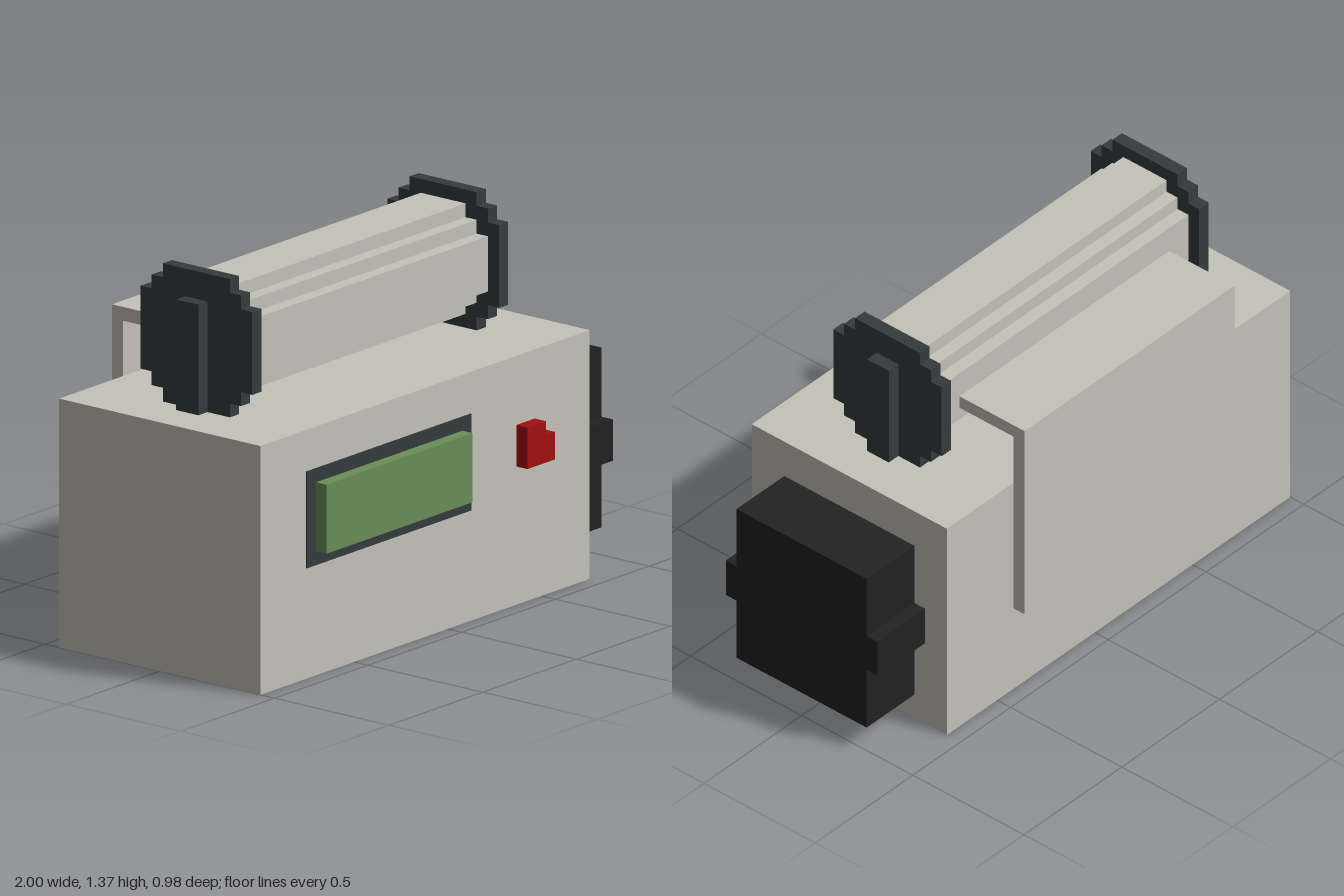
import * as THREE from 'three';

const U = 2 / 41; // one block of the modelling grid

const material = (name, color) => {
  const m = new THREE.MeshStandardMaterial({ color });
  m.name = name;
  return m;
};

export function createModel() {
  const model = new THREE.Group();
  model.name = 'paperRollPrinter';

  const casing = material('warmGrey', 0xc4c3ba);
  const slate = material('slate', 0x353c3d);
  const black = material('black', 0x222222);
  const green = material('screenGreen', 0x6a8f57);
  const red = material('buttonRed', 0xa30f0f);

  const add = (name, geometry, mat) => {
    const mesh = new THREE.Mesh(geometry, mat);
    mesh.name = name;
    model.add(mesh);
    return mesh;
  };

  // Box between two grid corners; x runs 0..41, z is centred
  const box = (name, mat, [x0, x1], [y0, y1], [z0, z1]) => {
    const g = new THREE.BoxGeometry((x1 - x0) * U, (y1 - y0) * U, (z1 - z0) * U);
    g.translate(((x0 + x1) / 2 - 20.5) * U, ((y0 + y1) / 2) * U, ((z0 + z1) / 2) * U);
    return add(name, g, mat);
  };

  // Extrude a closed outline (grid units) by a depth
  const extrude = (points, depth) => {
    const shape = new THREE.Shape(points.map(([x, y]) => new THREE.Vector2(x * U, y * U)));
    return new THREE.ExtrudeGeometry(shape, { depth: depth * U, bevelEnabled: false });
  };

  // Profile running along x; outline is given as (-z, y)
  const alongX = (name, mat, points, x0, x1) => {
    const g = extrude(points, x1 - x0).rotateY(Math.PI / 2);
    g.translate((x0 - 20.5) * U, 0, 0);
    return add(name, g, mat);
  };

  // Blocky circle of radius r with two-step corners, centred at height 23
  const steppedDisc = (r) => {
    const corner = [[r, r - 2], [r - 1, r - 2], [r - 1, r - 1], [r - 2, r - 1], [r - 2, r]];
    const mirrored = corner.map(([x, y]) => [-x, y]).reverse();
    const top = [...corner, ...mirrored];
    return [...top, ...top.map(([x, y]) => [-x, -y])].map(([x, y]) => [x, y + 23]);
  };

  // Main casing
  box('body', casing, [0, 36], [0, 18], [-9, 9]);

  // Display: flush surround and raised screen
  box('screenFrame', slate, [5, 23], [8, 15], [9, 9.08]);
  box('screen', green, [6, 22], [9, 14], [9, 10]);

  // Notched button
  const button = extrude([[28, 10], [31, 10], [31, 12], [30, 12], [30, 13], [28, 13]], 1);
  add('button', button.translate(-20.5 * U, 0, 9 * U), red);

  // Side unit with a wider band
  box('sideUnit', black, [36, 41], [2, 15], [-6, 6]);
  for (const s of [-1, 1]) {
    const z = [6 * s, 7 * s].sort((a, b) => a - b);
    box(s > 0 ? 'sideBandFront' : 'sideBandBack', black, [36, 41], [7, 10], z);
  }

  // Paper roll between two end discs with upright supports
  alongX('paperRoll', casing, steppedDisc(4), 5, 31);
  alongX('rightDisc', slate, steppedDisc(5), 4, 5);
  alongX('leftDisc', slate, steppedDisc(5), 31, 32);
  box('rightSupport', slate, [3, 4], [18, 26], [-1, 1]);
  box('leftSupport', slate, [32, 33], [18, 26], [-1, 1]);

  // Sheet leaving the roll and hanging down the back
  alongX('paperSheet', casing, [[4, 22], [9, 22], [9, 7], [10, 7], [10, 23], [4, 23]], 7, 29);

  return model;
}
